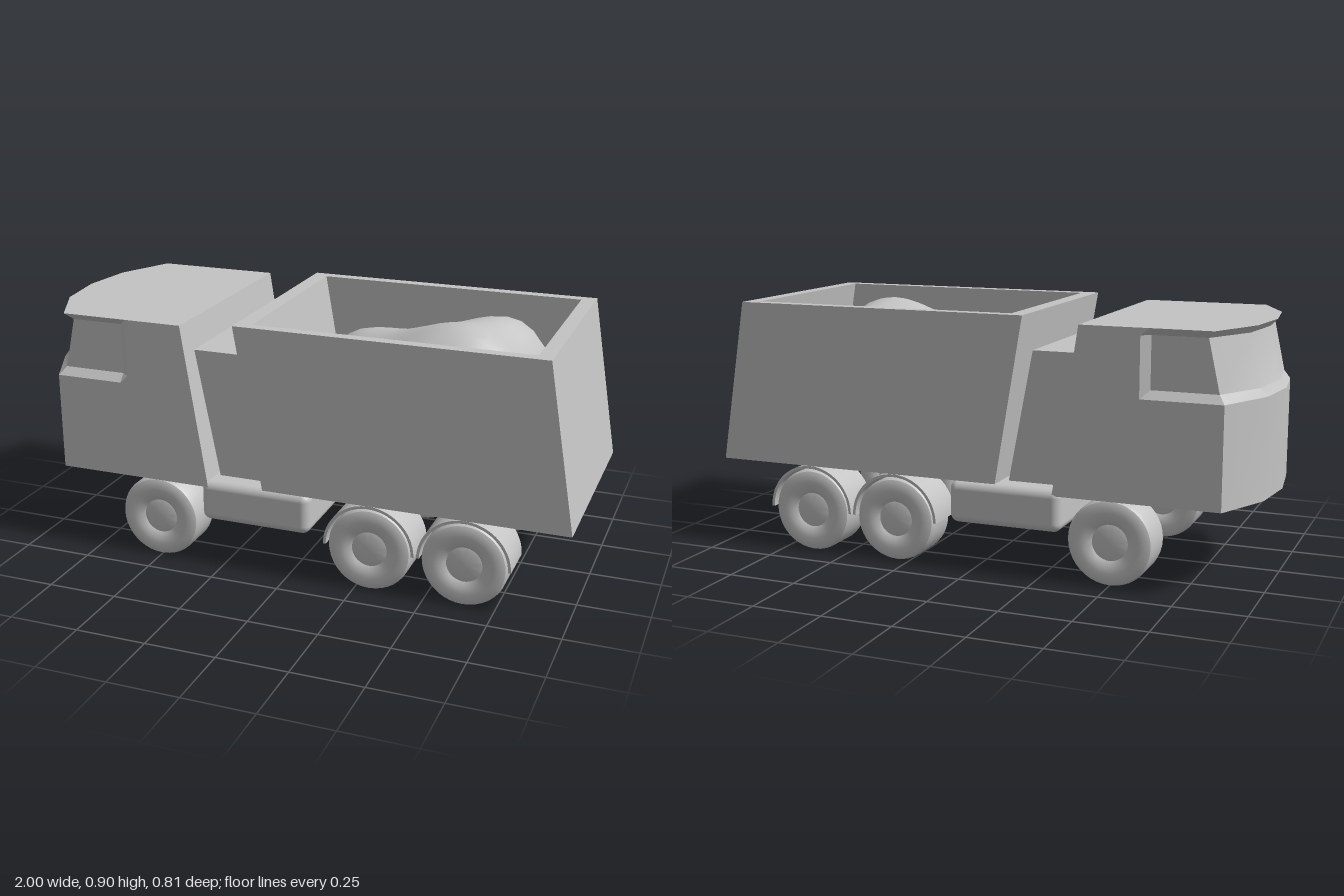
import * as THREE from 'three';
import { toCreasedNormals } from 'three/addons/utils/BufferGeometryUtils.js';
import { RoundedBoxGeometry } from 'three/addons/geometries/RoundedBoxGeometry.js';

const grey = new THREE.MeshStandardMaterial({ color: 0xc4c4c4 });
grey.name = 'plain grey';

function add(parent, name, geometry, x = 0, y = 0, z = 0) {
  const mesh = new THREE.Mesh(geometry, grey);
  mesh.name = name;
  mesh.position.set(x, y, z);
  parent.add(mesh);
  return mesh;
}

// Lean a geometry towards -x as it rises
function lean(geometry, k) {
  const p = geometry.attributes.position;
  for (let i = 0; i < p.count; i++) p.setX(i, p.getX(i) - k * p.getY(i));
  geometry.computeVertexNormals();
  return geometry;
}

// Closed skin through rings of [x, y, z] points, with end caps
function loft(rings) {
  const n = rings[0].length;
  const pos = [];
  const tri = (a, b, c) => pos.push(...a, ...b, ...c);
  for (let r = 0; r < rings.length - 1; r++) {
    const lo = rings[r], hi = rings[r + 1];
    for (let i = 0; i < n; i++) {
      const j = (i + 1) % n;
      tri(lo[i], lo[j], hi[j]);
      tri(lo[i], hi[j], hi[i]);
    }
  }
  const bottom = rings[0], top = rings[rings.length - 1];
  for (let i = 1; i < n - 1; i++) {
    tri(top[0], top[i], top[i + 1]);
    tri(bottom[0], bottom[i + 1], bottom[i]);
  }
  const g = new THREE.BufferGeometry();
  g.setAttribute('position', new THREE.Float32BufferAttribute(pos, 3));
  return toCreasedNormals(g, 0.45);
}

// Cab ring: front setback and side window recess at one height
function cabRing(y, setback, recess) {
  const back = -0.3 - 0.09 * (y - 0.3) / 0.585;
  const half = [
    [-0.975 + setback, 0.2], [-0.88 + setback, 0.4 - recess],
    [-0.63, 0.4 - recess], [-0.6, 0.4], [back, 0.4],
  ];
  const ring = [[-1 + setback, y, 0], ...half.map(([x, z]) => [x, y, z])];
  half.reverse().forEach(([x, z]) => ring.push([x, y, -z]));
  return ring;
}

function buildBed() {
  const bed = new THREE.Group();
  bed.name = 'dumpBed';
  const k = 0.1 / 0.585;
  const rect = (T, x0, x1, z) => {
    const s = new T();
    s.moveTo(x0, -z); s.lineTo(x1, -z); s.lineTo(x1, z); s.lineTo(x0, z); s.closePath();
    return s;
  };
  // Open frame of four leaning walls
  const frame = rect(THREE.Shape, -0.09, 0.995, 0.398);
  frame.holes.push(rect(THREE.Path, -0.035, 0.945, 0.357));
  const walls = new THREE.ExtrudeGeometry(frame, { depth: 0.585, bevelEnabled: false });
  add(bed, 'bedWalls', lean(walls.rotateX(-Math.PI / 2), k), 0, 0.32, 0.005);
  const floor = new THREE.BoxGeometry(1.03, 0.04, 0.75).translate(0.4525, 0.02, 0);
  add(bed, 'bedFloor', lean(floor, k), 0, 0.32, 0.005);

  // Lumpy heap of load
  const pile = new THREE.PlaneGeometry(0.93, 0.69, 20, 16).rotateX(-Math.PI / 2);
  const p = pile.attributes.position;
  for (let i = 0; i < p.count; i++) {
    const u = p.getX(i) / 0.465, v = p.getZ(i) / 0.345;
    const dome = (1 - Math.abs(u) ** 5) * (1 - Math.abs(v) ** 5);
    const lumps = 0.03 * Math.sin(4.1 * u + 1.6 * v) + 0.02 * Math.sin(5.3 * v - 2.2 * u + 1);
    const slope = 0.05 * u - 0.035 * v - 0.06 * u * u;
    p.setY(i, 0.52 + dome * (0.32 + slope + lumps));
    p.setX(i, p.getX(i) + 0.012 * Math.sin(6 * v));
  }
  pile.computeVertexNormals();
  add(bed, 'loadPile', pile, 0.375, 0, 0.005);
  return bed;
}

// Tyre with rounded shoulders, dished sidewall and flat hub
function wheelGeometry() {
  const side = [
    [0, 0.066], [0.05, 0.066], [0.063, 0.062], [0.068, 0.066], [0.085, 0.074],
    [0.105, 0.078], [0.132, 0.076], [0.144, 0.07], [0.15, 0.058],
  ];
  const profile = side.map(([r, w]) => new THREE.Vector2(r, -w));
  side.reverse().forEach(([r, w]) => profile.push(new THREE.Vector2(r, w)));
  return toCreasedNormals(new THREE.LatheGeometry(profile, 40).rotateX(Math.PI / 2), 0.6);
}

// Half-round mudguard over one wheel
function fenderGeometry() {
  const s = new THREE.Shape();
  s.absarc(0, 0, 0.164, 0, Math.PI, false);
  s.absarc(0, 0, 0.154, Math.PI, 0, true);
  const g = new THREE.ExtrudeGeometry(s, { depth: 0.158, bevelEnabled: false, curveSegments: 20 });
  return toCreasedNormals(g.translate(0, 0, -0.079), 0.5);
}

export function createModel() {
  const truck = new THREE.Group();
  truck.name = 'dumpTruck';

  add(truck, 'cab', loft([
    cabRing(0.3, 0, 0), cabRing(0.652, 0, 0), cabRing(0.68, 0.022, 0.025),
    cabRing(0.86, 0.062, 0.025), cabRing(0.885, 0.038, 0),
  ]));

  // Leaning block between cab and bed
  const block = new THREE.BoxGeometry(0.17, 0.47, 0.65).translate(0, 0.235, 0);
  add(truck, 'rearBlock', lean(block, 0.19), -0.198, 0.31, 0);

  // Rounded tank running across the chassis
  add(truck, 'crossTank', new RoundedBoxGeometry(0.41, 0.15, 0.805, 4, 0.03), -0.125, 0.245, -0.002);

  truck.add(buildBed());

  const wheel = wheelGeometry(), fender = fenderGeometry();
  for (const side of [1, -1]) {
    const z = 0.005 + side * 0.317;
    const label = side > 0 ? 'Left' : 'Right';
    [-0.5, 0.3, 0.637].forEach((x, i) => {
      add(truck, `wheel${label}${i + 1}`, wheel, x, 0.152, z);
      if (i > 0) add(truck, `fender${label}${i + 1}`, fender, x, 0.155, z);
    });
  }
  return truck;
}
